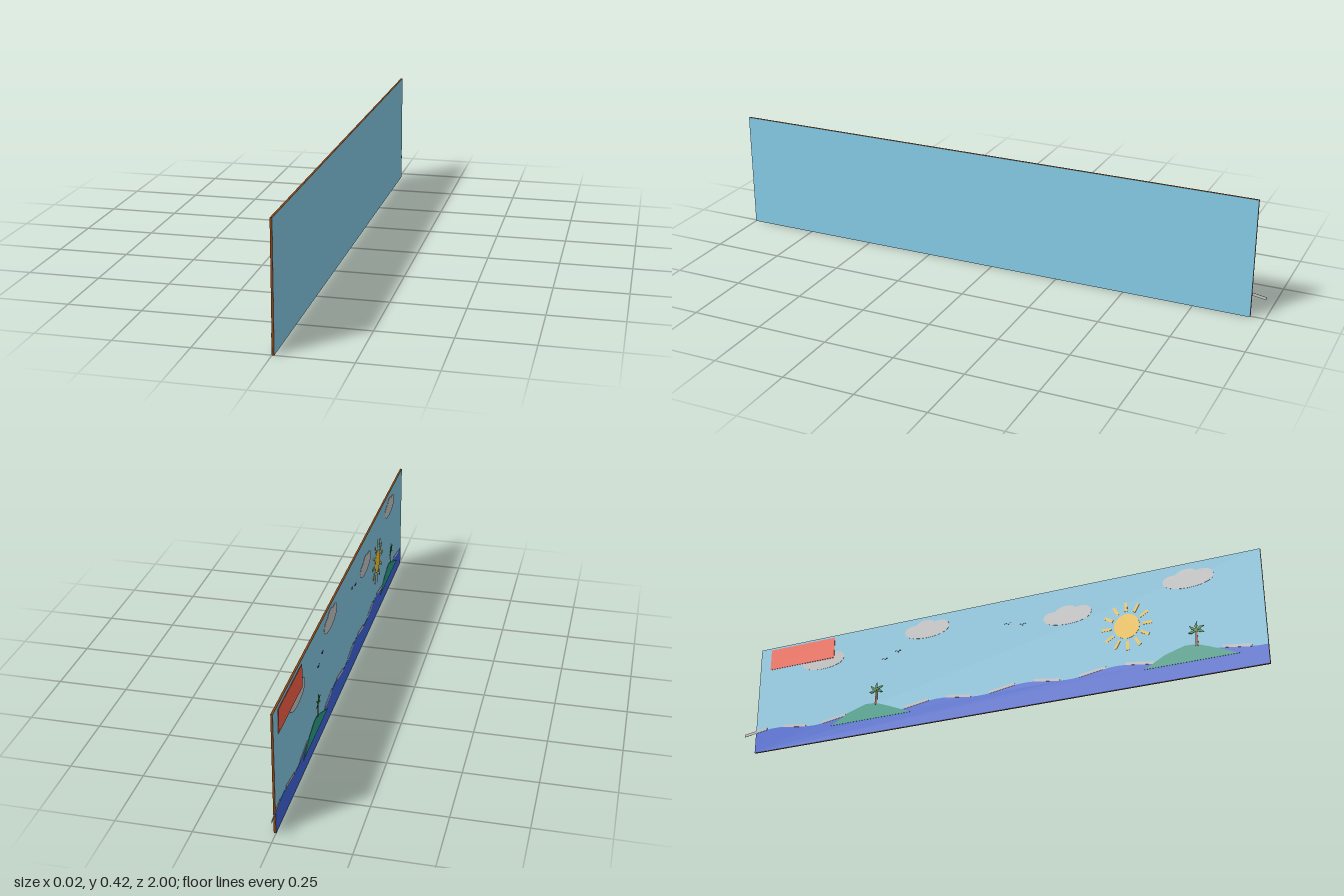
import * as THREE from 'three';

const COLORS = {
  frame: 0x8b4513, sky: 0x87ceeb, sea: 0x4169e1, sun: 0xffcc33, cloud: 0xeeeeee, foam: 0xe6e6e6,
  island: 0x2aa58c, trunk: 0x8b4513, leaf: 0x228b22, bird: 0x222222, sign: 0xff6347,
};
const materials = {};
for (const key in COLORS) materials[key] = new THREE.MeshStandardMaterial({ color: COLORS[key] });

const polygon = (points) => new THREE.Shape(points.map(([u, v]) => new THREE.Vector2(u, v)));

export function createModel() {
  const model = new THREE.Group();
  model.name = 'muralWall';

  // Local axes of the mural: x runs along the wall, y is up, z comes out of the painted side
  const mural = new THREE.Group();
  mural.name = 'mural';
  mural.rotation.y = -Math.PI / 2;
  model.add(mural);

  const add = (name, geometry, material, x, y, z, angle = 0, parent = mural) => {
    const mesh = new THREE.Mesh(geometry, materials[material]);
    mesh.name = name;
    mesh.position.set(x, y, z);
    mesh.rotation.z = angle;
    parent.add(mesh);
    return mesh;
  };
  const cutout = (shape, depth = 0.001) =>
    new THREE.ExtrudeGeometry(shape, { depth, bevelEnabled: false, curveSegments: 10 });

  // Board with brown edges and sky on both faces
  const length = 1.95, height = 0.422, middle = 0.025;
  add('boardEdge', new THREE.BoxGeometry(length, height, 0.007), 'frame', middle, height / 2, -0.0035);
  const face = new THREE.PlaneGeometry(length, height);
  add('skyFront', face, 'sky', middle, height / 2, 0.0003);
  add('skyBack', face, 'sky', middle, height / 2, -0.0073).rotation.y = Math.PI;

  // Sea with a wavy top edge
  const wave = 0.336, firstCrest = -0.866;
  const level = (u) => 0.078 + 0.009 * Math.cos((2 * Math.PI * (u - firstCrest)) / wave);
  const sea = [[-0.95, 0], [1, 0]];
  for (let i = 60; i >= 0; i--) {
    const u = -0.95 + (length * i) / 60;
    sea.push([u, level(u)]);
  }
  add('sea', cutout(polygon(sea), 0.0007), 'sea', 0, 0, 0.0003);

  // Foam strips on the alternating slopes of the waves
  const foam = new THREE.BoxGeometry(0.098, 0.01, 0.001);
  for (let i = 0; i < 12; i++) {
    add('foam', foam, 'foam', -0.95 + i * wave / 2, 0.082, 0.0015, i % 2 ? -0.15 : 0.15);
  }

  // Sun disc and rays
  const sun = new THREE.Group();
  sun.name = 'sun';
  sun.position.set(0.523, 0.228, 0.001);
  mural.add(sun);
  const disc = new THREE.Shape().absarc(0, 0, 0.046, 0, Math.PI * 2);
  add('sunDisc', cutout(disc), 'sun', 0, 0, 0, 0, sun);
  const ray = new THREE.BoxGeometry(0.034, 0.01, 0.001);
  for (let i = 0; i < 12; i++) {
    const a = (i * Math.PI) / 6;
    add('sunRay', ray, 'sun', 0.073 * Math.cos(a), 0.073 * Math.sin(a), 0.0005, a, sun);
  }

  // Clouds: rounded belly with two bumps on top
  const cloud = new THREE.Shape();
  cloud.moveTo(-0.09, 0);
  cloud.bezierCurveTo(-0.09, -0.045, 0.09, -0.045, 0.09, 0);
  cloud.bezierCurveTo(0.09, 0.026, 0.055, 0.034, 0.03, 0.026);
  cloud.bezierCurveTo(0.02, 0.043, -0.03, 0.043, -0.045, 0.022);
  cloud.bezierCurveTo(-0.07, 0.026, -0.09, 0.016, -0.09, 0);
  const cloudGeometry = cutout(cloud);
  for (const [u, v] of [[0.747, 0.362], [0.308, 0.314], [-0.24, 0.37], [-0.674, 0.326]]) {
    add('cloud', cloudGeometry, 'cloud', u, v, 0.0006);
  }

  // Birds: shallow V strokes
  const bird = cutout(polygon([[-0.014, 0.006], [-0.006, 0.007], [0, 0], [0.006, 0.007], [0.014, 0.006],
    [0.007, 0.01], [0, 0.004], [-0.007, 0.01]].reverse()));
  for (const [u, v] of [[0.083, 0.322], [0.138, 0.309], [-0.41, 0.278], [-0.356, 0.3]]) {
    add('bird', bird, 'bird', u, v, 0.0006);
  }

  // Islands, each with a palm tree
  const hill = cutout(polygon([[-0.163, 0], [0.163, 0], [0.06, 0.044], [0.02, 0.059],
    [-0.02, 0.061], [-0.09, 0.04]]), 0.0012);
  const trunk = cutout(polygon([[-0.005, 0], [0.005, 0], [0.004, 0.055], [-0.002, 0.055]]), 0.0015);
  const leaf = cutout(polygon([[0, -0.002], [0.016, -0.004], [0.031, -0.003], [0.018, 0.005], [0, 0.003]]), 0.0015);
  for (const u of [-0.462, 0.742]) {
    const island = new THREE.Group();
    island.name = 'island';
    island.position.set(u, 0.054, 0);
    mural.add(island);
    add('hill', hill, 'island', 0, 0, 0.0022, 0, island);
    add('palmTrunk', trunk, 'trunk', 0.022, 0.053, 0.0035, 0, island);
    [-18, 32, 88, 145, 198].forEach((degrees, i) => {
      add('palmLeaf', leaf, 'leaf', 0.023, 0.108, 0.005 + 0.0003 * i, (degrees * Math.PI) / 180, island);
    });
  }

  // Blank red sign in the upper corner
  add('sign', new THREE.BoxGeometry(0.277, 0.082, 0.002), 'sign', -0.765, 0.371, 0.003);

  return model;
}
